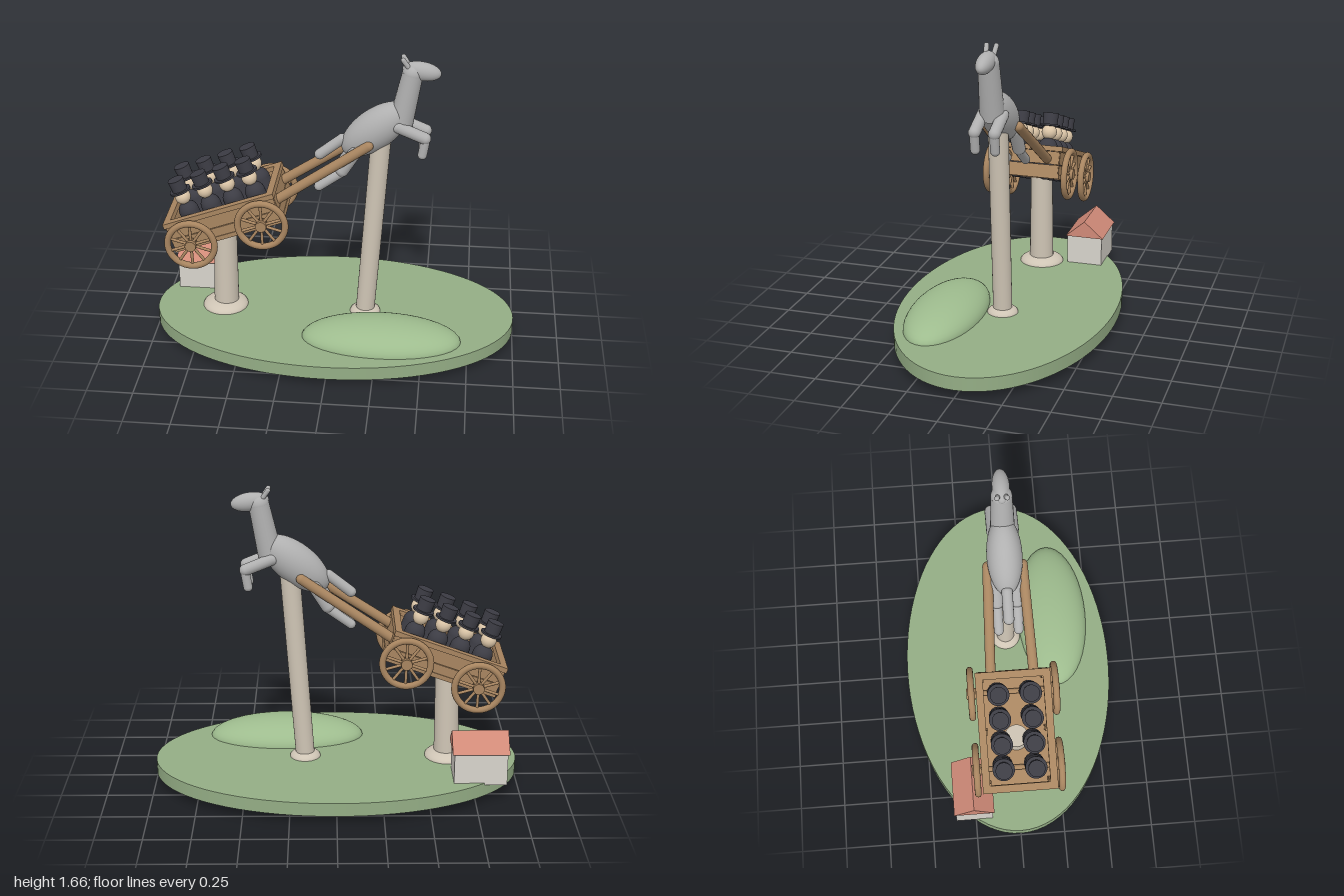
import * as THREE from 'three';

const mat = (color) => new THREE.MeshStandardMaterial({ color });
const M = {
  grass: mat(0x94ad85), hill: mat(0x9ebc8e), wall: mat(0xd8d4cc), roof: mat(0xd08a78),
  stone: mat(0xcfc5b5), wood: mat(0xa88560), dark: mat(0x3c3c44), skin: mat(0xdcc6a8), horse: mat(0xb0b0b0),
};
const UP = new THREE.Vector3(0, 1, 0);
const V = (p) => new THREE.Vector3(...p);

function add(parent, name, geometry, material, position = [0, 0, 0]) {
  const mesh = new THREE.Mesh(geometry, material);
  mesh.name = name;
  mesh.position.set(...position);
  parent.add(mesh);
  return mesh;
}

// Place a y-axis geometry between two points
function align(mesh, a, b) {
  mesh.position.copy(V(a)).add(V(b)).multiplyScalar(0.5);
  mesh.quaternion.setFromUnitVectors(UP, V(b).sub(V(a)).normalize());
  return mesh;
}
const dist = (a, b) => V(a).distanceTo(V(b));
const limb = (parent, name, a, b, r, material) =>
  align(add(parent, name, new THREE.CapsuleGeometry(r, dist(a, b), 6, 16), material), a, b);
const rod = (parent, name, a, b, r0, r1, material) =>
  align(add(parent, name, new THREE.CylinderGeometry(r1, r0, dist(a, b), 24), material), a, b);

function ellipsoid(parent, name, radii, material, position, tilt = 0) {
  const mesh = add(parent, name, new THREE.SphereGeometry(1, 40, 24), material, position);
  mesh.scale.set(...radii);
  mesh.rotation.z = tilt;
  return mesh;
}

function makeGround() {
  const g = new THREE.Group();
  g.name = 'ground';
  add(g, 'base', new THREE.CylinderGeometry(1, 1, 0.075, 80), M.grass, [0, 0.0825, 0]).scale.z = 0.59;
  ellipsoid(g, 'hill', [0.435, 0.117, 0.202], M.hill, [0.28, 0.117, 0.282]);

  // Small house with a gable roof
  add(g, 'houseWalls', new THREE.BoxGeometry(0.285, 0.18, 0.205), M.wall, [-0.772, 0.2, -0.257]);
  const gable = new THREE.Shape([[-0.112, 0], [0.112, 0], [0, 0.097]].map(([x, y]) => new THREE.Vector2(x, y)));
  const roof = new THREE.ExtrudeGeometry(gable, { depth: 0.305, bevelEnabled: false });
  roof.translate(0, 0, -0.1525);
  add(g, 'houseRoof', roof, M.roof, [-0.772, 0.288, -0.257]).rotation.y = Math.PI / 2;

  // Supporting posts with rounded feet
  rod(g, 'cartPost', [-0.615, 0.1, 0], [-0.605, 0.7, 0], 0.07, 0.062, M.stone);
  rod(g, 'horsePost', [0.17, 0.1, 0], [0.247, 1.2, 0], 0.052, 0.054, M.stone);
  ellipsoid(g, 'cartPostFoot', [0.127, 0.05, 0.127], M.stone, [-0.62, 0.117, 0]);
  ellipsoid(g, 'horsePostFoot', [0.085, 0.04, 0.085], M.stone, [0.172, 0.117, 0]);
  return g;
}

function makeWheel() {
  const g = new THREE.Group();
  g.name = 'wheel';
  add(g, 'rim', new THREE.TorusGeometry(0.128, 0.018, 12, 48), M.wood);
  add(g, 'hub', new THREE.CylinderGeometry(0.03, 0.03, 0.05, 20), M.wood).rotation.x = Math.PI / 2;
  for (let i = 0; i < 10; i++) {
    const a = (i / 10) * Math.PI * 2;
    rod(g, 'spoke', [0, 0, 0], [0.125 * Math.cos(a), 0.125 * Math.sin(a), 0], 0.008, 0.008, M.wood);
  }
  return g;
}

function makePassenger() {
  const g = new THREE.Group();
  g.name = 'passenger';
  add(g, 'coat', new THREE.CapsuleGeometry(0.055, 0.13, 8, 24), M.dark, [0, 0.02, 0]);
  add(g, 'head', new THREE.SphereGeometry(0.043, 24, 16), M.skin, [0, 0.172, 0]);
  add(g, 'hatBrim', new THREE.CylinderGeometry(0.058, 0.058, 0.01, 28), M.dark, [0, 0.21, 0]);
  add(g, 'hatCrown', new THREE.CylinderGeometry(0.044, 0.041, 0.066, 28), M.dark, [0, 0.246, 0]);
  return g;
}

function makeCart() {
  const g = new THREE.Group();
  g.name = 'cart';
  g.position.set(-0.583, 0.74, 0);
  g.rotation.z = THREE.MathUtils.degToRad(20);
  const board = (name, size, pos) => add(g, name, new THREE.BoxGeometry(...size), M.wood, pos);

  board('floor', [0.635, 0.025, 0.385], [0, -0.0785, 0]);
  for (const s of [-1, 1]) {
    // Planked sides and ends with a wider top rail
    for (const y of [-0.052, 0.024]) {
      board('sidePlank', [0.62, 0.072, 0.02], [0, y, s * 0.178]);
      board('endPlank', [0.02, 0.072, 0.37], [s * 0.305, y, 0]);
    }
    board('sideRail', [0.64, 0.028, 0.04], [0, 0.076, s * 0.18]);
    board('endRail', [0.04, 0.028, 0.4], [s * 0.3, 0.076, 0]);
    for (const x of [-0.28, 0, 0.28]) board('stake', [0.025, 0.15, 0.02], [x, 0, s * 0.162]);
    // Axle and its two wheels
    const x = s * 0.205;
    rod(g, 'axle', [x, -0.055, -0.235], [x, -0.055, 0.235], 0.014, 0.014, M.wood);
    for (const t of [-1, 1]) {
      const wheel = makeWheel();
      wheel.position.set(x, -0.055, t * 0.226);
      g.add(wheel);
    }
    // Row of passengers
    for (let i = 0; i < 4; i++) {
      const p = makePassenger();
      p.position.set(-0.187 + i * 0.13, 0, s * 0.085);
      g.add(p);
    }
  }
  return g;
}

function makeHorse() {
  const g = new THREE.Group();
  g.name = 'horse';
  ellipsoid(g, 'body', [0.215, 0.108, 0.094], M.horse, [0.215, 1.245, 0], 0.68);
  rod(g, 'neck', [0.345, 1.27, 0], [0.405, 1.57, 0], 0.066, 0.055, M.horse);
  ellipsoid(g, 'neckTop', [0.055, 0.055, 0.055], M.horse, [0.405, 1.57, 0]);
  ellipsoid(g, 'head', [0.102, 0.05, 0.045], M.horse, [0.452, 1.583, 0], -0.16);
  limb(g, 'tail', [0.04, 1.18, 0], [-0.08, 1.085, 0], 0.029, M.horse);
  for (const s of [-1, 1]) {
    const z = s * 0.053;
    limb(g, 'ear', [0.385, 1.605, s * 0.02], [0.355, 1.65, s * 0.026], 0.013, M.horse);
    // Raised front leg
    limb(g, 'frontThigh', [0.335, 1.285, z], [0.48, 1.225, z], 0.032, M.horse);
    limb(g, 'frontShin', [0.483, 1.22, z], [0.468, 1.13, z], 0.025, M.horse);
    // Trailing hind leg
    limb(g, 'hindThigh', [0.12, 1.14, z], [0.045, 1.02, z], 0.036, M.horse);
    limb(g, 'hindShin', [0.045, 1.01, z], [-0.08, 0.92, z], 0.026, M.horse);
  }
  return g;
}

export function createModel() {
  const model = new THREE.Group();
  model.name = 'horseAndCartMonument';
  model.add(makeGround(), makeCart(), makeHorse());
  // Shafts joining the cart to the horse
  for (const s of [-1, 1]) limb(model, 'shaft', [-0.3, 0.86, s * 0.115], [0.185, 1.185, s * 0.092], 0.027, M.wood);
  return model;
}
